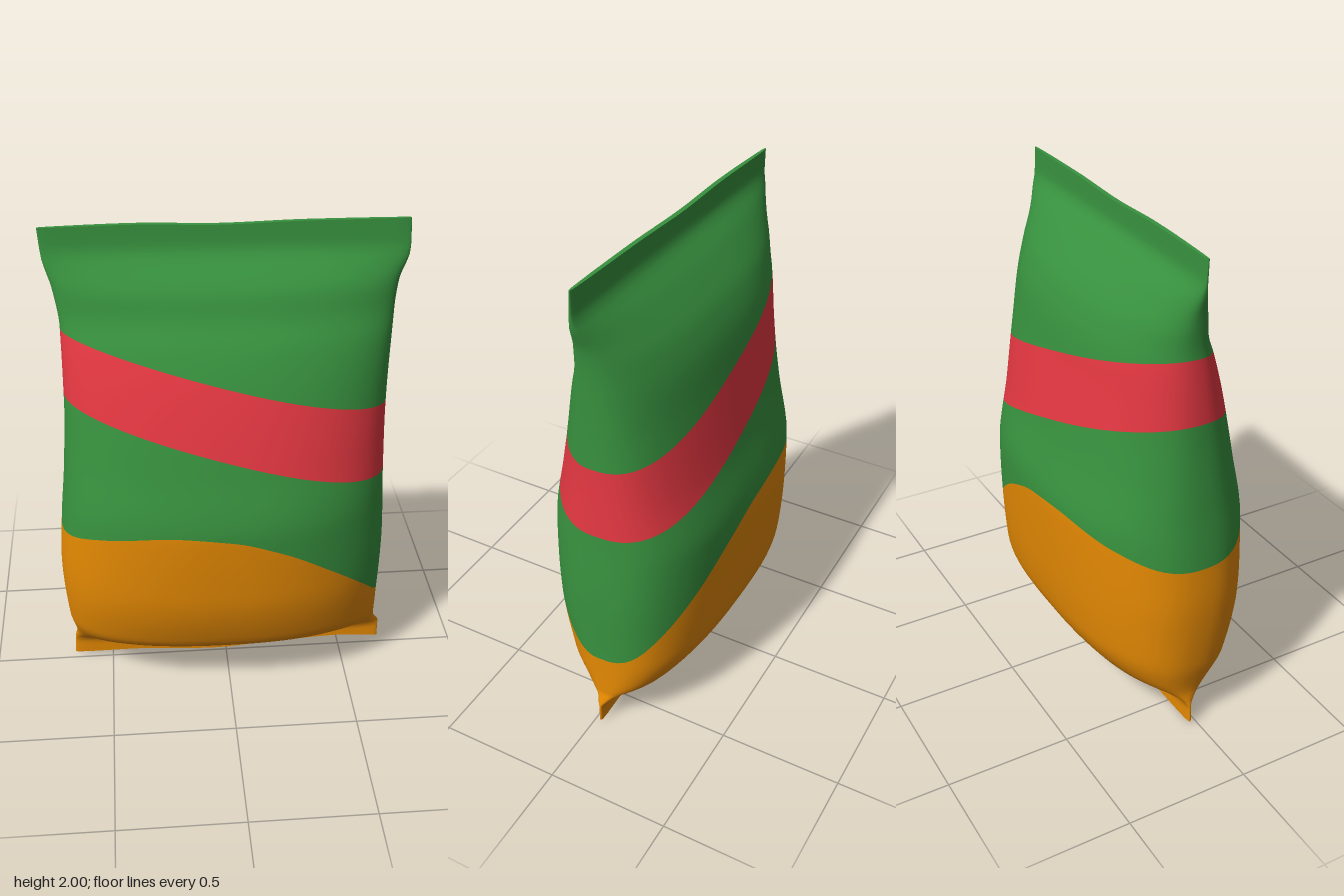
import * as THREE from 'three';

// Smooth curve through [position, value] pairs, without overshoot.
function curve(keys) {
  const n = keys.length;
  const slope = (i) => (keys[i + 1][1] - keys[i][1]) / (keys[i + 1][0] - keys[i][0]);
  const tangent = (i) => {
    if (i === 0) return slope(0);
    if (i === n - 1) return slope(n - 2);
    const a = slope(i - 1), b = slope(i);
    return a * b <= 0 ? 0 : (2 * a * b) / (a + b);
  };
  return (p) => {
    const x = Math.min(Math.max(p, keys[0][0]), keys[n - 1][0]);
    let i = 0;
    while (i < n - 2 && x > keys[i + 1][0]) i++;
    const h = keys[i + 1][0] - keys[i][0];
    const t = (x - keys[i][0]) / h, t2 = t * t, t3 = t2 * t;
    return (2 * t3 - 3 * t2 + 1) * keys[i][1] + (t3 - 2 * t2 + t) * h * tangent(i)
      + (3 * t2 - 2 * t3) * keys[i + 1][1] + (t3 - t2) * h * tangent(i + 1);
  };
}

// Outline of the bag by height: sides, front, back and seam position
const leftSide = curve([[0, 0.68], [0.1, 0.68], [0.13, 0.655], [0.34, 0.65], [0.6, 0.653],
  [0.96, 0.637], [1.26, 0.63], [1.65, 0.636], [1.76, 0.646], [1.88, 0.682], [2, 0.677]]);
const rightSide = curve([[0, 0.665], [0.1, 0.66], [0.14, 0.65], [0.3, 0.675], [0.56, 0.688],
  [0.76, 0.675], [1, 0.65], [1.3, 0.63], [1.6, 0.626], [1.75, 0.645], [1.87, 0.676], [2, 0.686]]);
const front = curve([[0, -0.014], [0.09, -0.012], [0.13, 0.06], [0.2, 0.205], [0.28, 0.29], [0.56, 0.362],
  [0.84, 0.372], [1.1, 0.32], [1.4, 0.24], [1.56, 0.18], [1.66, 0.127], [1.76, 0.093], [1.83, 0.045], [1.9, 0.002], [2, -0.003]]);
const back = curve([[0, -0.042], [0.09, -0.044], [0.13, -0.12], [0.2, -0.265], [0.34, -0.34], [0.56, -0.362],
  [0.84, -0.37], [1.1, -0.32], [1.4, -0.268], [1.56, -0.24], [1.68, -0.195], [1.76, -0.14], [1.83, -0.085], [1.9, -0.027], [2, -0.021]]);
const seam = curve([[0, -0.028], [0.12, -0.028], [0.5, 0], [1.5, 0], [1.88, -0.012], [2, -0.012]]);
const tilt = curve([[0, 0], [1.2, 0], [1.88, 0.035], [2, 0.035]]);
const squareness = curve([[0, 3.5], [0.1, 3.2], [0.2, 2.4], [0.6, 2.25],
  [1.6, 2.2], [1.83, 2.5], [1.9, 3.5], [2, 3.5]]);

// Point on the bag at an angle around it and a height; the back is fuller than the front
function skin(angle, y, target = new THREE.Vector3()) {
  const c = Math.cos(angle), s = Math.sin(angle);
  const n = squareness(y) + (s > 0 ? -0.15 * c : 0.3 + 0.2 * c);
  const x = c * (c > 0 ? leftSide(y) : rightSide(y));
  const bulge = Math.pow(Math.max(0, 1 - Math.pow(Math.abs(c), n)), 1 / n);
  const reach = (s > 0 ? front(y) : back(y)) - seam(y);
  return target.set(x, y, seam(y) + tilt(y) * x + reach * bulge);
}

// Edges of the coloured bands, as height across the width
const bottomEdge = curve([[-0.69, 0.012], [-0.4, 0.018], [-0.05, 0], [0.2, 0.018], [0.5, 0.034], [0.69, 0.015]]);
const topEdge = curve([[-0.69, 1.984], [-0.3, 1.993], [-0.05, 1.987], [0.3, 1.997], [0.69, 2]]);
const orangeEdge = curve([[-0.69, 0.745], [-0.5, 0.815], [-0.22, 0.86], [0, 0.838], [0.2, 0.765],
  [0.4, 0.63], [0.55, 0.485], [0.655, 0.33]]);
const stripeLow = curve([[-0.63, 1.34], [0, 1.155], [0.635, 0.96]]);
const stripeHigh = curve([[-0.63, 1.6], [0, 1.43], [0.635, 1.26]]);

const COLUMNS = 96;

function heightAt(edge, angle) {
  let y = edge(Math.cos(angle) * 0.65);
  for (let i = 0; i < 6; i++) y = edge(skin(angle, y).x);
  return y;
}

function normalAt(angle, y) {
  const du = skin(angle + 0.03, y).sub(skin(angle - 0.03, y));
  const dv = skin(angle, Math.min(y + 0.03, 2)).sub(skin(angle, Math.max(y - 0.03, 0)));
  return dv.cross(du).normalize();
}

function gridGeometry(rows, place) {
  const positions = [], normals = [], index = [];
  for (let j = 0; j <= rows; j++) {
    for (let i = 0; i <= COLUMNS; i++) {
      const [p, n] = place((i / COLUMNS) * Math.PI * 2, j / rows);
      positions.push(p.x, p.y, p.z);
      normals.push(n.x, n.y, n.z);
      if (i < COLUMNS && j < rows) {
        const a = j * (COLUMNS + 1) + i, d = a + COLUMNS + 1;
        index.push(a, d, d + 1, a, d + 1, a + 1);
      }
    }
  }
  const g = new THREE.BufferGeometry();
  g.setAttribute('position', new THREE.Float32BufferAttribute(positions, 3));
  g.setAttribute('normal', new THREE.Float32BufferAttribute(normals, 3));
  g.setIndex(index);
  return g;
}

// Band of the skin between two edges
function band(low, high, rows) {
  return gridGeometry(rows, (angle, t) => {
    const y = THREE.MathUtils.lerp(heightAt(low, angle), heightAt(high, angle), t);
    return [skin(angle, y), normalAt(angle, y)];
  });
}

// Narrow face closing a seal, from its rim to its centre line
function sealFace(edge, up) {
  return gridGeometry(1, (angle, t) => {
    const y = heightAt(edge, angle);
    const p = skin(angle, y);
    const inner = up ? t : 1 - t;
    p.z = THREE.MathUtils.lerp(p.z, seam(y) + tilt(y) * p.x, inner);
    return [p, new THREE.Vector3(0, up ? 1 : -1, 0)];
  });
}

export function createModel() {
  const material = (name, color) => {
    const m = new THREE.MeshStandardMaterial({ color });
    m.name = name;
    return m;
  };
  const green = material('green', 0x38923f);
  const red = material('red', 0xe63842);
  const orange = material('orange', 0xe48902);

  const bag = new THREE.Group();
  bag.name = 'snackBag';
  const add = (name, geometry, mat) => {
    const mesh = new THREE.Mesh(geometry, mat);
    mesh.name = name;
    bag.add(mesh);
  };

  add('orangeBase', band(bottomEdge, orangeEdge, 40), orange);
  add('greenMiddle', band(orangeEdge, stripeLow, 14), green);
  add('redStripe', band(stripeLow, stripeHigh, 8), red);
  add('greenTop', band(stripeHigh, topEdge, 26), green);
  add('bottomSealFace', sealFace(bottomEdge, false), orange);
  add('topSealFace', sealFace(topEdge, true), green);
  return bag;
}
